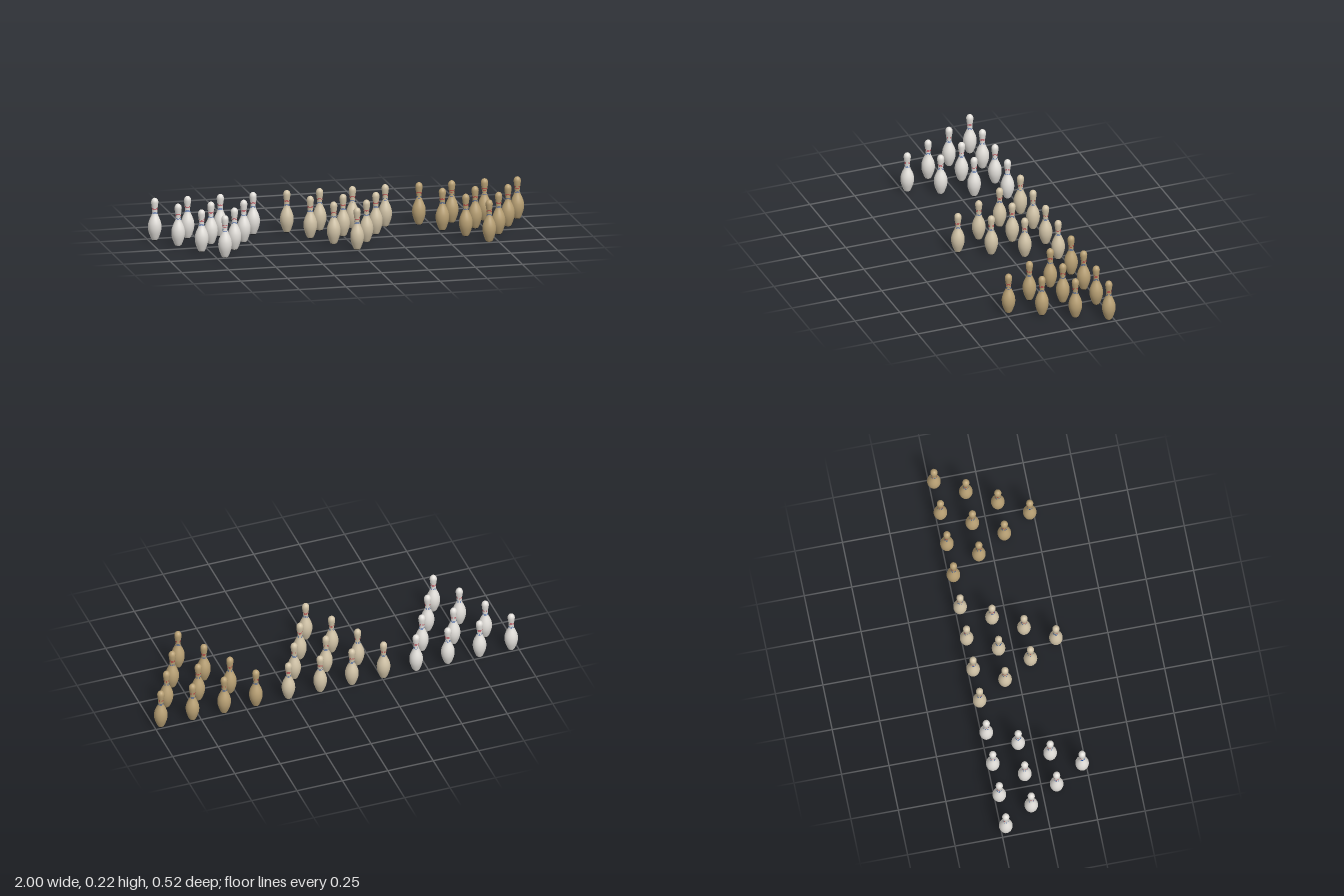
import * as THREE from 'three';

const mat = (name, color) => {
  const m = new THREE.MeshStandardMaterial({ color });
  m.name = name;
  return m;
};

const HEIGHT = 0.2225;
const SPACING = 0.1745; // between neighbours in a row
const ROW = 0.151; // between rows
const BASE_HEIGHT = 0.0015;

// [height, radius] control points, base to crown
const PROFILE = [
  [BASE_HEIGHT, 0.0155], [0.011, 0.0208], [0.033, 0.029], [0.05, 0.0335], [0.067, 0.0353],
  [0.087, 0.0338], [0.1075, 0.0275], [0.128, 0.0183], [0.139, 0.0146], [0.148, 0.0133],
  [0.161, 0.0139], [0.174, 0.0156], [0.187, 0.0177], [0.2, 0.0188],
];

// Smooth pin outline with a rounded head
function pinOutline() {
  const curve = new THREE.SplineCurve(PROFILE.map(([y, r]) => new THREE.Vector2(r, y)));
  const points = curve.getPoints(30);
  const [headY, headR] = PROFILE[PROFILE.length - 1];
  for (let i = 1; i <= 8; i++) {
    const a = (i / 8) * Math.PI / 2;
    points.push(new THREE.Vector2(
      i === 8 ? 0 : headR * Math.cos(a),
      headY + (HEIGHT - headY) * Math.sin(a)
    ));
  }
  return points;
}

// Outline radius at a given height
function radiusAt(points, y) {
  const i = points.findIndex((p) => p.y >= y);
  const a = points[i - 1], b = points[i];
  return THREE.MathUtils.lerp(a.x, b.x, (y - a.y) / (b.y - a.y));
}

export function createModel() {
  const model = new THREE.Group();
  model.name = 'bowlingPins';

  const red = mat('red stripe', 0xc4182c);
  const blue = mat('blue stripe', 0x1c4aa0);
  const black = mat('black base', 0x1a1a1a);

  const outline = pinOutline();
  const bodyGeo = new THREE.LatheGeometry(outline, 28);
  const baseGeo = new THREE.CylinderGeometry(PROFILE[0][1], 0.0148, BASE_HEIGHT, 28)
    .translate(0, BASE_HEIGHT / 2, 0);

  // Thin painted neck rings
  const ring = (y, material) => {
    const h = 0.0018, lift = 0.0001;
    const geo = new THREE.CylinderGeometry(
      radiusAt(outline, y + h / 2) + lift, radiusAt(outline, y - h / 2) + lift, h, 28, 1, true
    );
    return { geo: geo.translate(0, y, 0), material };
  };
  const rings = [ring(0.1695, red), ring(0.1625, red), ring(0.147, blue), ring(0.141, blue)];

  function makePin(bodyMaterial) {
    const pin = new THREE.Group();
    pin.name = 'pin';
    const add = (geo, material, name) => {
      const mesh = new THREE.Mesh(geo, material);
      mesh.name = name;
      pin.add(mesh);
    };
    add(bodyGeo, bodyMaterial, 'pinBody');
    add(baseGeo, black, 'pinBase');
    rings.forEach((r) => add(r.geo, r.material, 'neckStripe'));
    return pin;
  }

  // Three triangular racks, one finish each
  const racks = [
    ['whiteRack', -0.703, mat('white', 0xe2dfda)],
    ['paleWoodRack', 0, mat('pale wood', 0xd0c2a6)],
    ['darkWoodRack', 0.703, mat('dark wood', 0xb8a074)],
  ];
  for (const [name, x, material] of racks) {
    const rack = new THREE.Group();
    rack.name = name;
    rack.position.x = x;
    for (let row = 0; row < 4; row++) {
      for (let i = 0; i <= row; i++) {
        const pin = makePin(material);
        pin.position.set((i - row / 2) * SPACING, 0, (1.5 - row) * ROW);
        rack.add(pin);
      }
    }
    model.add(rack);
  }
  return model;
}
